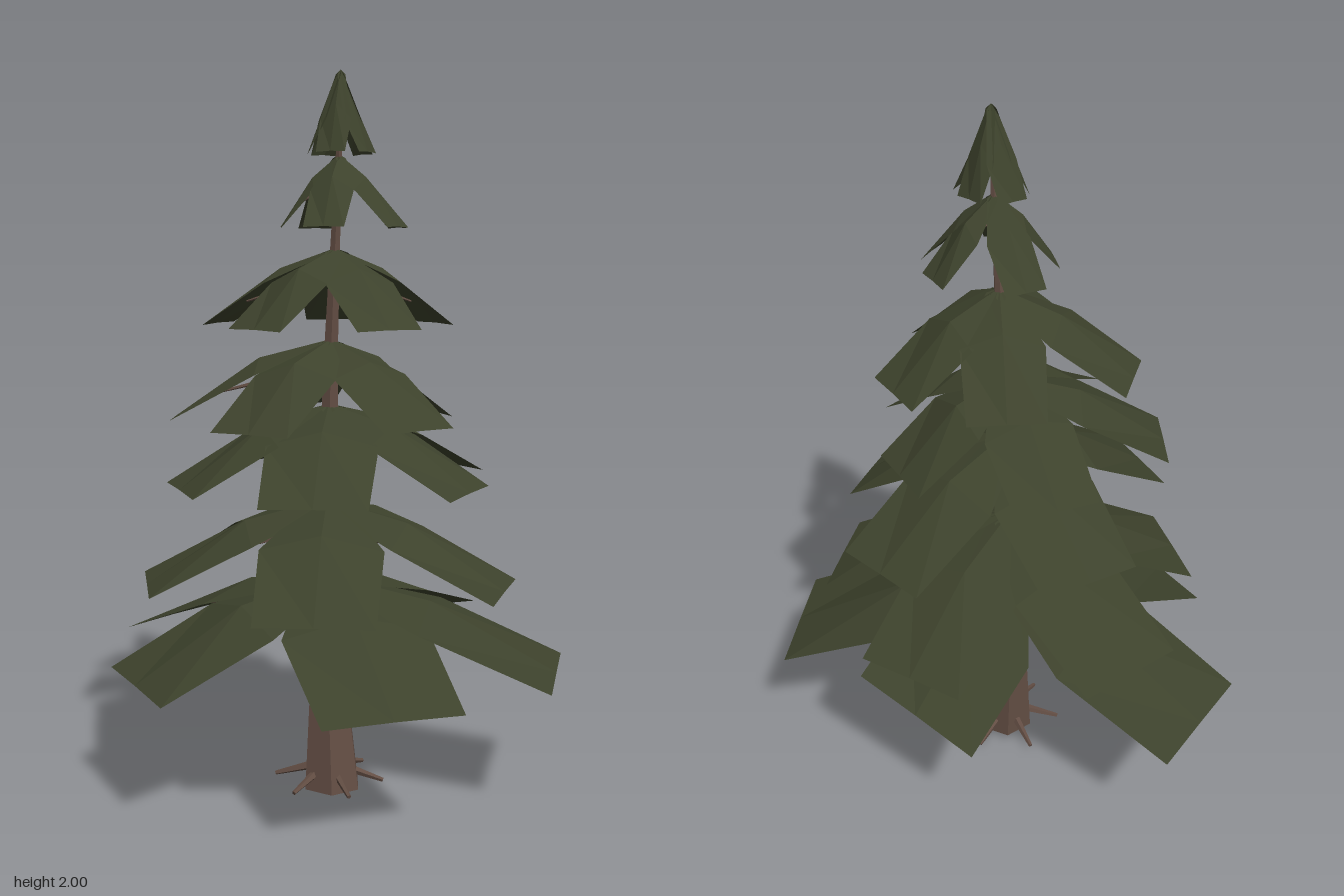
import * as THREE from 'three';

const bark = new THREE.MeshStandardMaterial({ color: 0x624d43 });
bark.name = 'bark brown';
const needles = new THREE.MeshStandardMaterial({ color: 0x3d422c, side: THREE.DoubleSide });
needles.name = 'needle green';

// Trunk rings: height, x, z, radius
const RINGS = [
  [0, 0.033, 0.037, 0.087], [0.4, 0.045, 0.005, 0.05], [0.62, 0.046, 0.003, 0.038],
  [0.9, 0.05, 0.005, 0.031], [1.25, 0.052, 0.012, 0.022], [1.55, 0.052, 0.028, 0.015],
  [1.78, 0.046, 0.047, 0.01], [1.96, 0.04, 0.058, 0.003],
];

// Tiers: top and bottom height, card width, share of the drop at the fold, centre,
// and for each bough its tip centre [x, z] with an optional sideways roll
const TIERS = [
  { top: 0.61, low: 0.37, w: 0.38, fold: 0.24, c: [0.045, 0.0],
    tips: [[0.39, 0.555], [-0.215, 0.505], [-0.51, -0.165], [0, -0.645], [0.515, -0.04, 0.05]] },
  { top: 0.83, low: 0.602, w: 0.31, fold: 0.24, c: [0.047, 0.003],
    tips: [[0.275, 0.46], [-0.345, 0.35], [-0.37, -0.29], [0.17, -0.515], [0.553, -0.065]] },
  { top: 1.1, low: 0.88, w: 0.28, fold: 0.24, c: [0.05, 0.007],
    tips: [[0.18, 0.41], [-0.28, 0.28], [-0.345, -0.17], [0.21, -0.4], [0.523, 0.05]] },
  { top: 1.28, low: 1.062, w: 0.23, fold: 0.24, c: [0.05, 0.012],
    tips: [[0.005, 0.385], [-0.36, 0.13], [-0.235, -0.315], [0.215, -0.295], [0.35, 0.13]] },
  { top: 1.53, low: 1.317, w: 0.2, fold: 0.26, c: [0.052, 0.028],
    tips: [[-0.01, 0.29], [-0.25, 0.03], [-0.09, -0.302], [0.29, -0.19], [0.355, 0.13]] },
  { top: 1.78, low: 1.584, w: 0.11, fold: 0.32, c: [0.047, 0.047],
    tips: [[0.085, 0.228], [-0.1, 0.135], [-0.075, -0.055], [0.12, -0.115], [0.213, 0.11]] },
  { top: 2.0, low: 1.78, w: 0.08, fold: 0.42, c: [0.04, 0.058],
    tips: [[0.055, 0.145], [-0.04, 0.1], [-0.025, 0.0], [0.065, -0.03], [0.12, 0.065]] },
];

function meshFrom(positions, index, material, name) {
  let geo = new THREE.BufferGeometry();
  geo.setAttribute('position', new THREE.Float32BufferAttribute(positions, 3));
  geo.setIndex(index);
  geo = geo.toNonIndexed(); // flat facets
  geo.computeVertexNormals();
  const mesh = new THREE.Mesh(geo, material);
  mesh.name = name;
  return mesh;
}

// Six-sided trunk lofted through the rings
function makeTrunk() {
  const n = 6, pos = [], idx = [];
  for (const [y, x, z, r] of RINGS) {
    for (let i = 0; i < n; i++) {
      const a = (i / n) * Math.PI * 2 + Math.PI / 12;
      pos.push(x + r * Math.cos(a), y, z + r * Math.sin(a));
    }
  }
  for (let k = 0; k < RINGS.length - 1; k++) {
    for (let i = 0; i < n; i++) {
      const a = k * n + i, b = k * n + (i + 1) % n;
      idx.push(a, a + n, b, b, a + n, b + n);
    }
  }
  for (let i = 1; i < n - 1; i++) idx.push(0, i, i + 1); // underside
  return meshFrom(pos, idx, bark, 'trunk');
}

// Tapered stick between two points
function stick(from, to, r0, r1, name) {
  const dir = to.clone().sub(from);
  const geo = new THREE.CylinderGeometry(r1, r0, dir.length(), 5).toNonIndexed();
  geo.computeVertexNormals();
  const mesh = new THREE.Mesh(geo, bark);
  mesh.position.copy(from).addScaledVector(dir, 0.5);
  mesh.quaternion.setFromUnitVectors(new THREE.Vector3(0, 1, 0), dir.normalize());
  mesh.name = name;
  return mesh;
}

// Drooping bough card: narrower at the trunk, folded along the middle, straight at the tip
function makeBough(tier, [tx, tz, roll = 0]) {
  const [cx, cz] = tier.c;
  const dx = tx - cx, dz = tz - cz, len = Math.hypot(dx, dz);
  const sx = -dz / len, sz = dx / len, drop = tier.top - tier.low;
  const pos = [], idx = [];
  // along, half width, centre drop, edge drop
  const rows = [[0, 0.17, 0, 0.06], [0.46, 0.54, tier.fold, tier.fold + 0.18], [1, 0.5, 0.99, 1]];
  for (const [t, hw, mid, edge] of rows) {
    for (const s of [-1, 0, 1]) {
      const off = s * hw * tier.w;
      const y = tier.top - drop * (s ? edge : mid) + roll * t * (1 + s);
      pos.push(cx + dx * t + sx * off, y, cz + dz * t + sz * off);
    }
  }
  for (let r = 0; r < 2; r++) {
    for (let s = 0; s < 2; s++) {
      const a = r * 3 + s;
      idx.push(a, a + 1, a + 3, a + 1, a + 4, a + 3);
    }
  }
  return meshFrom(pos, idx, needles, 'boughNeedles');
}

// Thin branch carrying a bough from below
function makeBranch(tier, [tx, tz]) {
  const [cx, cz] = tier.c, drop = tier.top - tier.low;
  const r = 0.006 + 0.025 * tier.w;
  const from = new THREE.Vector3(cx, tier.top - drop * 0.32, cz);
  const to = new THREE.Vector3(cx + (tx - cx) * 0.75, tier.top - drop * 0.7, cz + (tz - cz) * 0.75);
  return stick(from, to, r, r * 0.25, 'branch');
}

export function createModel() {
  const tree = new THREE.Group();
  tree.name = 'coniferTree';
  tree.add(makeTrunk());

  // Roots around the foot
  const roots = new THREE.Group();
  roots.name = 'roots';
  for (let i = 0; i < 6; i++) {
    const a = 0.3 * Math.PI + i * Math.PI / 3, c = Math.cos(a), s = Math.sin(a);
    roots.add(stick(new THREE.Vector3(0.034 + 0.05 * c, 0.05, 0.025 + 0.05 * s),
      new THREE.Vector3(0.034 + 0.157 * c, 0.018, 0.025 + 0.157 * s), 0.013, 0.006, 'root'));
  }
  tree.add(roots);

  // Tiers of boughs
  TIERS.forEach((tier, i) => {
    const group = new THREE.Group();
    group.name = 'boughTier' + (i + 1);
    for (const tip of tier.tips) {
      group.add(makeBough(tier, tip));
      if (i < 6) group.add(makeBranch(tier, tip));
    }
    tree.add(group);
  });
  return tree;
}
